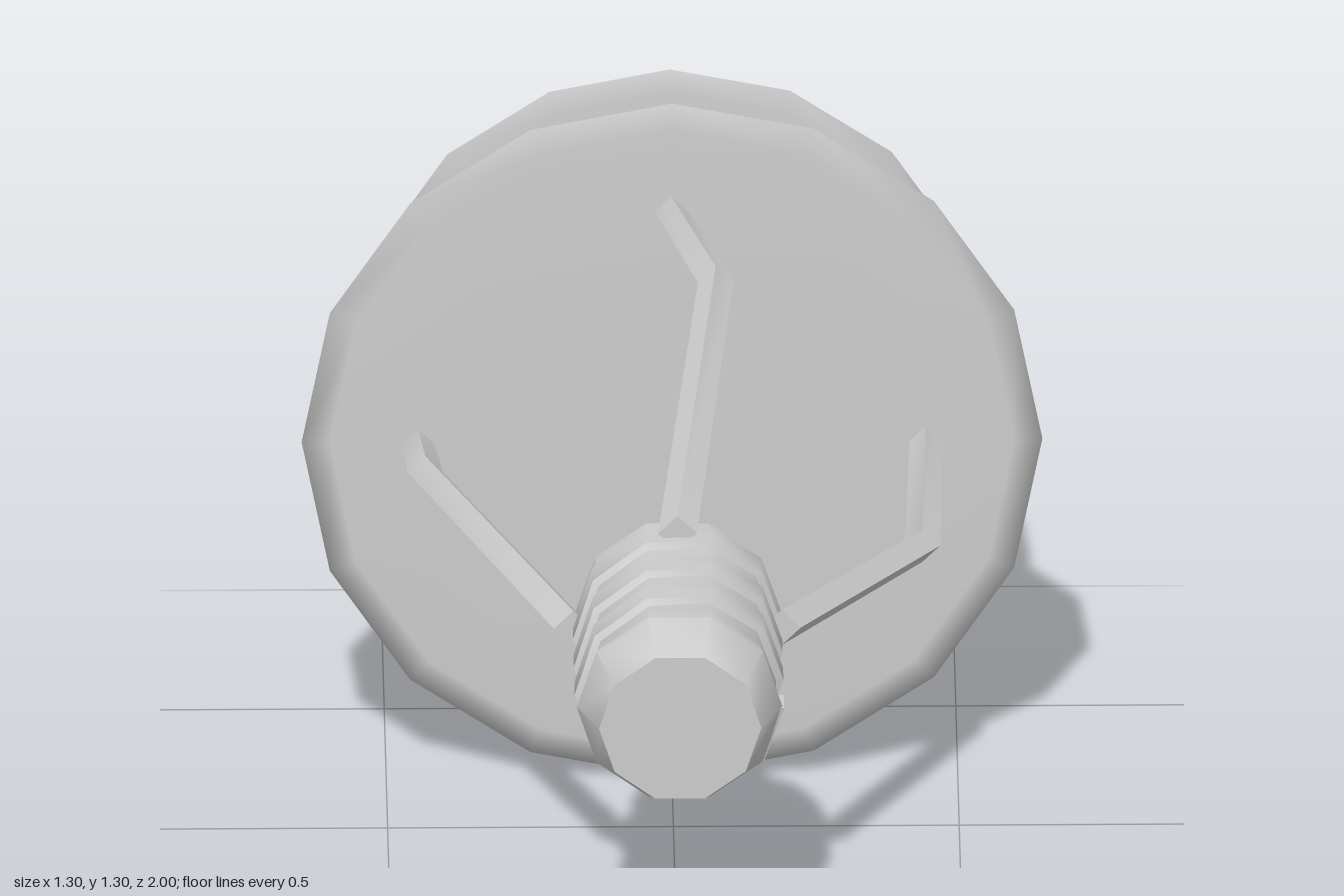
import * as THREE from 'three';
import { toCreasedNormals } from 'three/addons/utils/BufferGeometryUtils.js';

const AXIS_Y = 0.65;
const SIDES = 10;

// Skin a list of four-cornered rings into a closed bar
function skin(rings) {
  const pos = rings.flat(2);
  const idx = [];
  for (let i = 0; i < rings.length - 1; i++) {
    for (let j = 0; j < 4; j++) {
      const a = i * 4 + j, b = i * 4 + (j + 1) % 4;
      idx.push(a, b, b + 4, a, b + 4, a + 4);
    }
  }
  const e = (rings.length - 1) * 4;
  idx.push(0, 2, 1, 0, 3, 2, e, e + 1, e + 2, e, e + 2, e + 3);
  const g = new THREE.BufferGeometry();
  g.setAttribute('position', new THREE.Float32BufferAttribute(pos, 3));
  g.setIndex(idx);
  return toCreasedNormals(g, 0.7);
}

// Ten-sided handle core, turned to lie along z
function handleGeometry() {
  const profile = [
    [0, 0.43], [0.142, 0.43], [0.178, 0.51], [0.17, 0.56],
    [0.17, 0.86], [0.18, 0.91], [0.142, 1.0], [0, 1.0],
  ].map(([r, z]) => new THREE.Vector2(r, z));
  const g = new THREE.LatheGeometry(profile, SIDES, Math.PI / 2);
  g.rotateX(Math.PI / 2);
  return toCreasedNormals(g, 0.7);
}

// Raised thread winding round the handle
function threadGeometry() {
  const turns = 3, z0 = 0.54, z1 = 0.89, n = turns * SIDES;
  const rings = [];
  for (let i = 0; i <= n; i++) {
    const a = (i / SIDES) * Math.PI * 2;
    const z = z0 + (z1 - z0) * (i / n);
    const at = (r, dz) => [Math.cos(a) * r, Math.sin(a) * r, z + dz];
    rings.push([at(0.16, -0.034), at(0.16, 0.034), at(0.183, 0.026), at(0.183, -0.026)]);
  }
  return skin(rings);
}

// Tapering arm of diamond section: radius, sideways offset, z, half width
function armGeometry() {
  const path = [
    [0.182, 0, 0.58, 0.034],
    [0.435, -0.073, 0.08, 0.031],
    [0.452, 0.06, -0.42, 0.028],
    [0.215, 0, -1.0, 0.016],
  ];
  return skin(path.map(([r, t, z, w]) => [
    [r + w, t, z], [r, t - w, z], [r - w, t, z], [r, t + w, z],
  ].reverse().map((p) => p)).reverse());
}

// Thin lens with a sharp sixteen-sided rim
function discGeometry(radius) {
  const g = new THREE.SphereGeometry(radius, 16, 8);
  g.rotateX(Math.PI / 2);
  g.scale(1, 1, 0.014 / radius);
  return g;
}

export function createModel() {
  const model = new THREE.Group();
  model.name = 'cagedDiscDevice';
  const grey = new THREE.MeshStandardMaterial({ color: 0xcccccc, side: THREE.DoubleSide });
  grey.name = 'light grey';

  const add = (name, geometry, z = 0) => {
    const mesh = new THREE.Mesh(geometry, grey);
    mesh.name = name;
    mesh.position.set(0, AXIS_Y, z);
    model.add(mesh);
    return mesh;
  };

  add('handle', handleGeometry());
  add('handleThread', threadGeometry());
  add('frontDisc', discGeometry(0.648), -0.208);
  add('rearDisc', discGeometry(0.55), -0.565);

  // Four arms set evenly round the axis
  const arm = armGeometry();
  ['leftArm', 'topArm', 'rightArm', 'bottomArm'].forEach((name, i) => {
    add(name, arm).rotation.z = (i * Math.PI) / 2;
  });
  return model;
}
